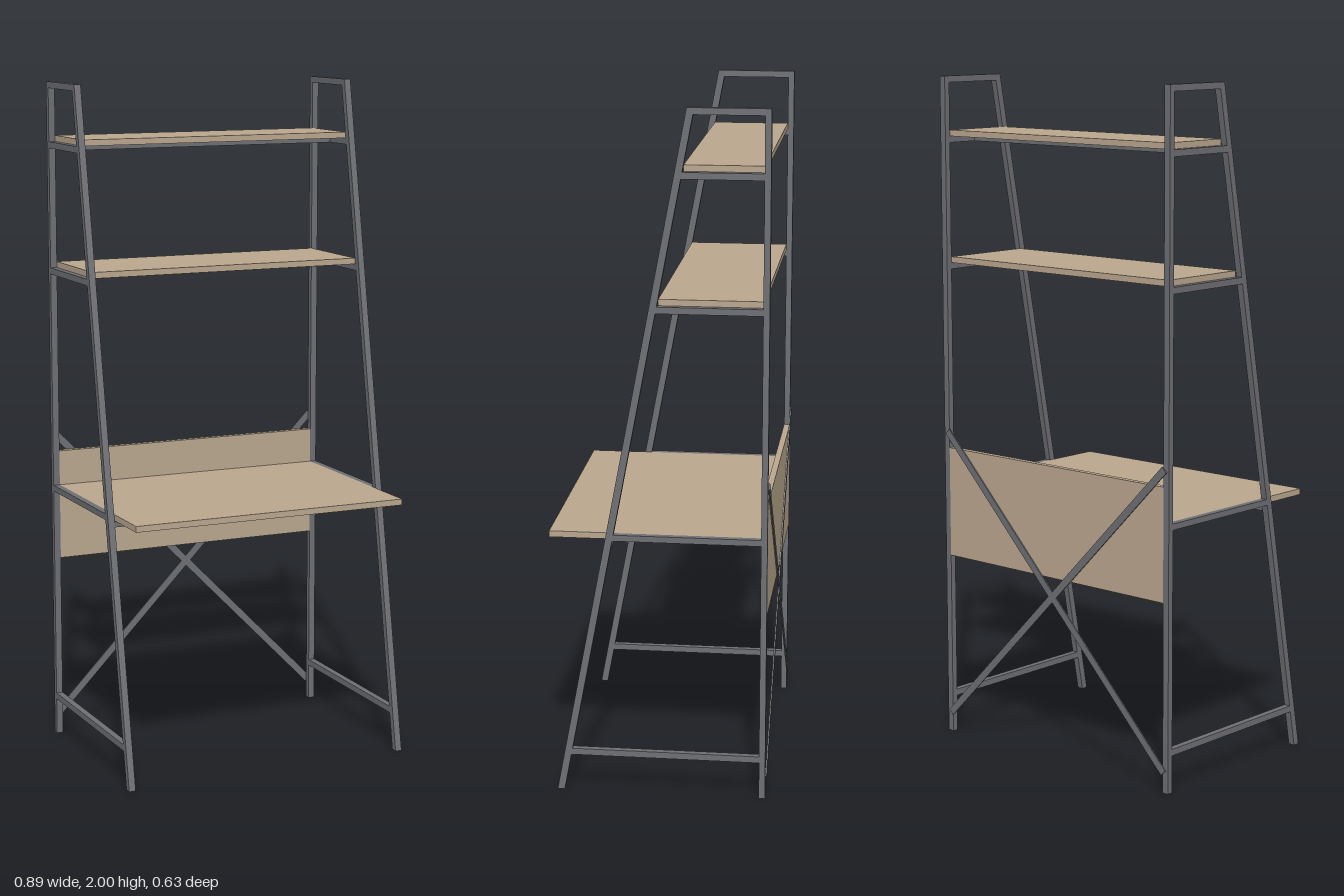
import * as THREE from 'three';

const wood = new THREE.MeshStandardMaterial({ color: 0xbaa78e });
wood.name = 'lightWood';
const metal = new THREE.MeshStandardMaterial({ color: 0x6e6f73 });
metal.name = 'greyMetal';

const IN = 0.425, OUT = 0.445;          // inner and outer faces of the side frames
const BACK = -0.311, POST = -0.293;     // back and front faces of the rear posts
const legFront = y => 0.297 - 0.1885 * y; // front face of the leaning leg
const legBack = y => legFront(y) - 0.021;

// Box given by its limits on each axis
function box(name, mat, [x0, x1], [y0, y1], [z0, z1]) {
  const m = new THREE.Mesh(new THREE.BoxGeometry(x1 - x0, y1 - y0, z1 - z0), mat);
  m.position.set((x0 + x1) / 2, (y0 + y1) / 2, (z0 + z1) / 2);
  m.name = name;
  return m;
}

// Bar of the side frame: a (z, y) outline extruded across the frame thickness
function sideBar(name, points) {
  const shape = new THREE.Shape(points.map(p => new THREE.Vector2(...p)));
  const geo = new THREE.ExtrudeGeometry(shape, { depth: OUT - IN, bevelEnabled: false });
  geo.rotateY(-Math.PI / 2);
  geo.translate((OUT - IN) / 2, 0, 0);
  const m = new THREE.Mesh(geo, metal);
  m.name = name;
  return m;
}

// Level bar from the rear post to the leaning leg
const rail = (name, y0, y1) => sideBar(name, [
  [POST, y0], [legBack(y0), y0], [legBack(y1), y1], [POST, y1]]);

function sideFrame(name, side) {
  const g = new THREE.Group();
  g.name = name;
  g.add(
    sideBar('rearPost', [[BACK, 0], [POST, 0], [POST, 2], [BACK, 2]]),
    sideBar('frontLeg', [[legBack(0), 0], [legFront(0), 0], [legFront(2), 2], [legBack(2), 2]]),
    rail('topRail', 1.981, 2),
    rail('upperShelfRail', 1.805, 1.824),
    rail('lowerShelfRail', 1.43, 1.449),
    rail('deskRail', 0.767, 0.785),
    rail('footRail', 0.11, 0.129));
  g.position.x = side * (IN + OUT) / 2;
  return g;
}

export function createModel() {
  const model = new THREE.Group();
  model.name = 'ladderDesk';
  model.add(sideFrame('leftFrame', 1), sideFrame('rightFrame', -1));

  // Shelves, each with a support bar below
  for (const [name, y, front] of [['upperShelf', 1.824, -0.07], ['lowerShelf', 1.449, 0]]) {
    const mid = (front + POST) / 2;
    model.add(
      box(name, wood, [-IN, IN], [y, y + 0.018], [POST, front]),
      box(name + 'Support', metal, [-IN, IN], [y - 0.019, y], [mid - 0.01, mid + 0.01]));
  }

  // Desk top, its support bar and the back panel
  model.add(
    box('deskTop', wood, [-IN, IN], [0.767, 0.785], [POST, 0.315]),
    box('deskSupport', metal, [-IN, IN], [0.748, 0.767], [legBack(0.757), legFront(0.757)]),
    box('backPanel', wood, [-IN, IN], [0.557, 0.89], [BACK, POST]));

  // Crossed flat braces behind the frame
  for (const side of [1, -1]) {
    const brace = box('crossBrace', metal, [-0.615, 0.615], [-0.011, 0.011], [-0.002, 0.002]);
    brace.position.set(0, 0.5, -0.313);
    brace.rotation.z = side * Math.atan2(0.445, 0.435);
    model.add(brace);
  }
  return model;
}
